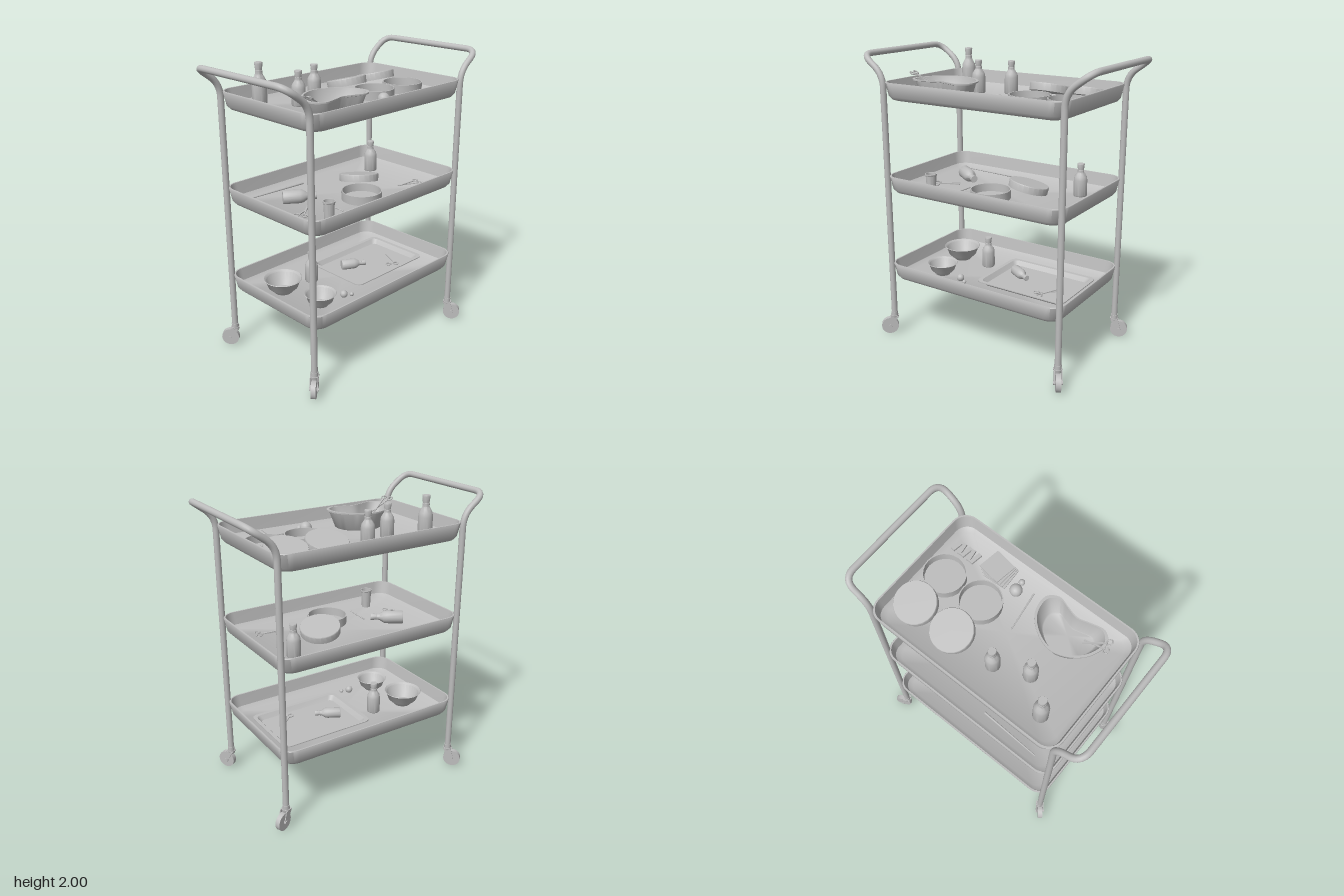
import * as THREE from 'three';
import { toCreasedNormals } from 'three/addons/utils/BufferGeometryUtils.js';

const V = (x, y, z) => new THREE.Vector3(x, y, z);

// Skin over stacked closed rings (ordered +x towards +z), capped at both ends
function loft(rings) {
  const n = rings[0].length, pos = [], idx = [];
  rings.forEach(r => r.forEach(p => pos.push(p.x, p.y, p.z)));
  for (let i = 0; i < rings.length - 1; i++) {
    for (let j = 0; j < n; j++) {
      const a = i * n + j, b = i * n + (j + 1) % n;
      idx.push(a, a + n, b, b, a + n, b + n);
    }
  }
  [0, rings.length - 1].forEach((ri, top) => {
    const c = rings[ri].reduce((s, p) => s.add(p), V(0, 0, 0)).divideScalar(n);
    const ci = pos.length / 3;
    pos.push(c.x, c.y, c.z);
    for (let j = 0; j < n; j++) {
      const a = ri * n + j, b = ri * n + (j + 1) % n;
      if (top) idx.push(ci, b, a); else idx.push(ci, a, b);
    }
  });
  const g = new THREE.BufferGeometry();
  g.setAttribute('position', new THREE.Float32BufferAttribute(pos, 3));
  g.setIndex(idx);
  return toCreasedNormals(g, 0.7);
}

// Rounded rectangle ring
function rectRing(hx, hz, r, y, steps = 8) {
  const pts = [];
  [[1, 1], [-1, 1], [-1, -1], [1, -1]].forEach(([sx, sz], q) => {
    for (let i = 0; i <= steps; i++) {
      const a = (q + i / steps) * Math.PI / 2;
      pts.push(V(sx * (hx - r) + r * Math.cos(a), y, sz * (hz - r) + r * Math.sin(a)));
    }
  });
  return pts;
}

// Polyline with softened corners
function softPath(points, r) {
  const path = new THREE.CurvePath();
  let from = points[0];
  for (let i = 1; i < points.length - 1; i++) {
    const p = points[i];
    const a = p.clone().add(points[i - 1].clone().sub(p).setLength(r));
    const b = p.clone().add(points[i + 1].clone().sub(p).setLength(r));
    path.add(new THREE.LineCurve3(from, a));
    path.add(new THREE.QuadraticBezierCurve3(a, p, b));
    from = b;
  }
  path.add(new THREE.LineCurve3(from, points[points.length - 1]));
  return path;
}

export function createModel() {
  const root = new THREE.Group();
  const grey = new THREE.MeshStandardMaterial({ color: 0xbdbdbd });
  grey.name = 'grey metal';

  const add = (name, geo, x = 0, y = 0, z = 0, parent = root) => {
    const m = new THREE.Mesh(geo, grey);
    m.name = name;
    m.position.set(x, y, z);
    parent.add(m);
    return m;
  };
  const group = (name, x, y, z, parent = root) => {
    const g = new THREE.Group();
    g.name = name;
    g.position.set(x, y, z);
    parent.add(g);
    return g;
  };
  const lathe = (pts, seg = 20) => toCreasedNormals(
    new THREE.LatheGeometry(pts.map(p => new THREE.Vector2(p[0], p[1])), seg), 0.6);

  // Shared shapes for the things on the shelves
  const bottleGeo = lathe([[0, 0], [0.042, 0], [0.045, 0.005], [0.045, 0.11], [0.041, 0.132], [0.028, 0.152],
    [0.022, 0.162], [0.022, 0.178], [0.02, 0.18], [0.025, 0.215], [0.023, 0.22], [0, 0.22]]);
  const dishGeo = lathe([[0, 0], [0.133, 0], [0.135, 0.06], [0.128, 0.06], [0.126, 0.006], [0, 0.006]], 24);
  const lidGeo = lathe([[0, 0], [0.133, 0], [0.135, 0.045], [0.132, 0.05], [0, 0.05]], 24);
  const bowlGeo = lathe([[0, 0], [0.06, 0], [0.065, 0.008], [0.1, 0.04], [0.118, 0.09], [0.13, 0.1],
    [0.127, 0.103], [0.113, 0.093], [0.094, 0.044], [0.06, 0.014], [0, 0.012]], 28);

  const scissors = (x, y, z, angle, parent = root) => {
    const g = group('scissors', x, y, z, parent);
    g.rotation.y = angle;
    [-1, 1].forEach(s => {
      const ring = add('scissorRing', new THREE.TorusGeometry(0.018, 0.004, 6, 16), -0.075, 0, s * 0.027, g);
      ring.rotation.x = Math.PI / 2;
      const blade = add('scissorBlade', new THREE.BoxGeometry(0.15, 0.006, 0.009), 0.01, s * 0.003, s * 0.003, g);
      blade.rotation.y = s * 0.2;
    });
    return g;
  };
  const stick = (name, x0, z0, x1, z1, y, r) => {
    const d = V(x1 - x0, 0, z1 - z0);
    const m = add(name, new THREE.CylinderGeometry(r, r * 0.6, d.length(), 8), (x0 + x1) / 2, y + r, (z0 + z1) / 2);
    m.quaternion.setFromUnitVectors(V(0, 1, 0), d.normalize());
  };
  const lyingBottle = (x, y, z, dx, dz, s) => {
    const d = V(dx, 0, dz).normalize();
    const m = add('lyingBottle', bottleGeo, x - d.x * 0.11 * s, y + 0.045 * s, z - d.z * 0.11 * s);
    m.scale.setScalar(s);
    m.quaternion.setFromUnitVectors(V(0, 1, 0), d);
  };
  const leaningLid = (x, y, z, dx, dz) => {
    const m = add('leaningLid', lidGeo, x, y + 0.035, z);
    m.quaternion.setFromUnitVectors(V(0, 1, 0), V(-dx * 0.25, 0.97, -dz * 0.25).normalize());
  };

  // Three shelf trays
  const bases = [1.69, 1.06, 0.43];
  const trayGeo = loft([rectRing(0.62, 0.385, 0.07, 0), rectRing(0.645, 0.408, 0.085, 0.008),
    rectRing(0.664, 0.426, 0.097, 0.03), rectRing(0.68, 0.44, 0.1, 0.115), rectRing(0.678, 0.438, 0.1, 0.12),
    rectRing(0.668, 0.428, 0.09, 0.12), rectRing(0.652, 0.414, 0.085, 0.035), rectRing(0.62, 0.385, 0.07, 0.012)]);
  bases.forEach(y => add('shelfTray', trayGeo, 0, y, 0));
  const [top, mid, low] = bases.map(y => y + 0.012);

  // Bent tube at each end: two posts joined by the push handle
  [-1, 1].forEach(s => {
    const path = softPath([V(s * 0.67, 0.15, -0.41), V(s * 0.67, 1.855, -0.41), V(s * 0.835, 1.977, -0.41),
      V(s * 0.835, 1.977, 0.41), V(s * 0.67, 1.855, 0.41), V(s * 0.67, 0.15, 0.41)], 0.085);
    add('postsAndHandle', new THREE.TubeGeometry(path, 220, 0.021, 14, false));
  });

  // Swivelled casters: x, z, trailing direction
  [[-0.67, -0.41, -0.7, -0.8], [-0.67, 0.41, -0.7, 0.6], [0.67, -0.41, 0.9, -0.4], [0.67, 0.41, 0.4, 0.6]]
    .forEach(([x, z, dx, dz]) => {
      const g = group('caster', x, 0, z);
      g.rotation.y = Math.atan2(-dz, dx);
      add('casterStem', new THREE.CylinderGeometry(0.024, 0.024, 0.035, 14), 0, 0.15, 0, g);
      add('casterPlate', new THREE.CylinderGeometry(0.03, 0.026, 0.022, 14), 0, 0.128, 0, g);
      const wheelGeo = new THREE.CylinderGeometry(0.06, 0.06, 0.032, 24);
      add('wheel', toCreasedNormals(wheelGeo, 0.6), 0.035, 0.06, 0, g).rotation.x = Math.PI / 2;
      const axle = new THREE.CylinderGeometry(0.013, 0.013, 0.062, 10);
      add('axle', axle, 0.035, 0.06, 0, g).rotation.x = Math.PI / 2;
      const side = new THREE.Shape([[-0.026, 0.135], [0.028, 0.135], [0.05, 0.055], [0.024, 0.045]]
        .map(p => new THREE.Vector2(...p)));
      const forkGeo = new THREE.ExtrudeGeometry(side, { depth: 0.006, bevelEnabled: false });
      [-0.027, 0.021].forEach(o => add('fork', forkGeo, 0, 0, o, g));
    });

  // Top shelf: bottles
  add('tallBottle', bottleGeo, -0.475, top, -0.27).scale.set(1.05, 1.26, 1.05);
  [[-0.285, top, -0.12], [-0.075, top, -0.205], [0.47, mid, -0.205], [-0.21, low, -0.115]]
    .forEach(p => add('bottle', bottleGeo, ...p));

  // Kidney dish
  const outline = new THREE.CatmullRomCurve3([[-0.53, 0.27], [-0.5, 0.15], [-0.42, 0.07], [-0.3, 0.03], [-0.18, 0.07],
    [-0.09, 0.16], [-0.075, 0.28], [-0.14, 0.33], [-0.22, 0.31], [-0.3, 0.29], [-0.38, 0.31], [-0.47, 0.325]]
    .map(p => V(p[0], 0, p[1])), true).getPoints(48).slice(0, 48);
  const bean = (s, y) => outline.map(p => V(-0.3 + (p.x + 0.3) * s, y, 0.19 + (p.z - 0.19) * s));
  add('kidneyDish', loft([bean(0.72, 0), bean(0.76, 0.008), bean(0.93, 0.115), bean(1, 0.118), bean(1, 0.127),
    bean(0.92, 0.127), bean(0.74, 0.016), bean(0.7, 0.01)]), 0, top, 0);
  const leaning = scissors(-0.48, 1.825, 0.225, 0.25);
  leaning.rotation.z = -0.45;

  // Shallow dishes with lids leaning on them
  [0.225, 0.505].forEach(x => {
    add('openDish', dishGeo, x, top, 0.05);
    leaningLid(x, top, -0.2, 0, 1);
  });

  // Thermometer, cotton balls, gauze and small clips
  stick('thermometer', -0.02, 0.035, 0.02, 0.3, top, 0.006);
  [[0.11, top, 0.24, 0.04], [0.12, top, 0.31, 0.02], [-0.22, low, 0.215, 0.026], [-0.17, low, 0.24, 0.014]]
    .forEach(([x, y, z, r]) => add('cottonBall', new THREE.SphereGeometry(r, 14, 10), x, y + r * 0.9, z));
  for (let i = 0; i < 4; i++) {
    const pad = add('gauzePad', new THREE.BoxGeometry(0.155, 0.006, 0.15), 0.26 + i * 0.013, top + 0.004 + i * 0.007, 0.285 + i * 0.004);
    pad.rotation.y = 0.06 - i * 0.07;
  }
  for (let i = 0; i < 5; i++) {
    const clip = add('clip', new THREE.BoxGeometry(0.026, 0.014, 0.08), 0.443 + i * 0.036, top + 0.007, 0.262);
    clip.rotation.y = i % 2 ? 0.15 : -0.15;
  }

  // Middle shelf
  add('cup', lathe([[0, 0], [0.03, 0], [0.036, 0.115], [0.04, 0.118], [0.04, 0.128], [0.034, 0.128],
    [0.027, 0.008], [0, 0.008]]), -0.405, mid, 0.275);
  lyingBottle(-0.34, mid, -0.07, 0.81, 0.58, 1);
  add('openDish', dishGeo, 0, mid, 0.16);
  leaningLid(0.17, mid, -0.03, -0.67, 0.74);
  stick('thermometer', -0.52, -0.34, -0.09, -0.32, mid, 0.008);
  stick('swab', -0.25, 0.24, -0.24, 0.06, mid, 0.005);
  scissors(-0.42, mid + 0.007, 0.07, 0.5);
  scissors(0.43, mid + 0.007, 0.2, 2.9);

  // Bottom shelf: bowls and a flat instrument tray
  add('bowl', bowlGeo, -0.455, low, -0.13);
  add('smallBowl', bowlGeo, -0.4, low, 0.18).scale.set(0.82, 0.85, 0.82);
  add('instrumentTray', loft([rectRing(0.29, 0.2, 0.03, 0, 4), rectRing(0.315, 0.225, 0.035, 0.03, 4),
    rectRing(0.335, 0.245, 0.045, 0.03, 4), rectRing(0.335, 0.245, 0.045, 0.036, 4),
    rectRing(0.31, 0.22, 0.035, 0.036, 4), rectRing(0.287, 0.197, 0.03, 0.007, 4)]), 0.25, low, -0.02);
  lyingBottle(0.12, low + 0.007, -0.03, 0.85, 0.5, 0.8);
  scissors(0.4, low + 0.016, 0.07, 0.95);

  return root;
}
